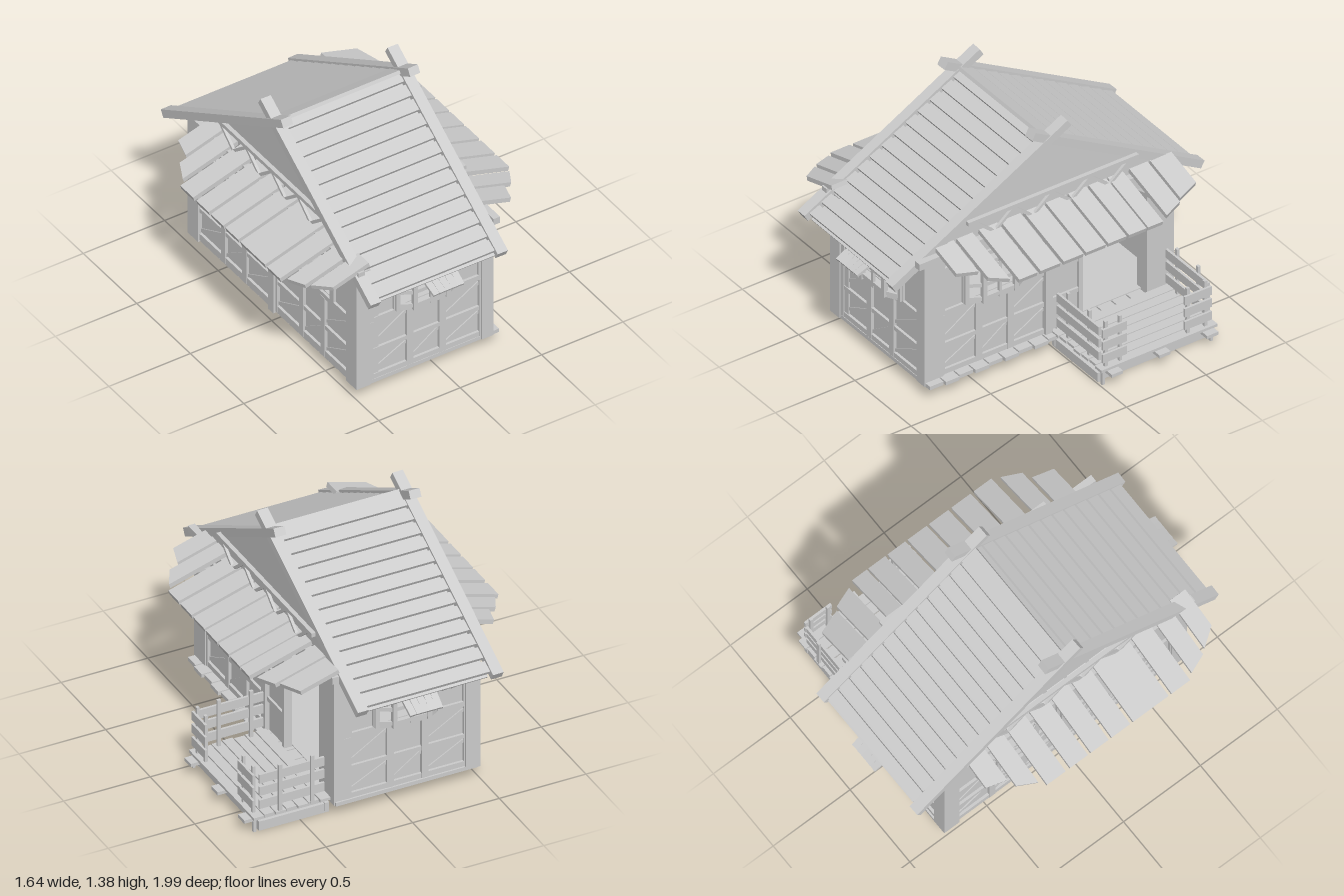
import * as THREE from 'three';

const mat = new THREE.MeshStandardMaterial({ color: 0xcccccc, flatShading: true, side: THREE.DoubleSide });
const V = (x, y, z) => new THREE.Vector3(x, y, z);

function add(parent, name, geo) {
  const m = new THREE.Mesh(geo, mat);
  m.name = name;
  parent.add(m);
  return m;
}
// box given by its min and max on each axis
function box(parent, name, x0, x1, y0, y1, z0, z1) {
  const m = add(parent, name, new THREE.BoxGeometry(x1 - x0, y1 - y0, z1 - z0));
  m.position.set((x0 + x1) / 2, (y0 + y1) / 2, (z0 + z1) / 2);
  return m;
}
// beam between two points: w across, t thick
function beam(parent, name, a, b, w, t) {
  const m = new THREE.Mesh(new THREE.BoxGeometry(w, t, a.distanceTo(b)), mat);
  m.name = name;
  m.position.copy(a).add(b).multiplyScalar(0.5);
  m.lookAt(b);
  parent.add(m);
  return m;
}
function group(parent, name, x = 0, y = 0, z = 0, ry = 0) {
  const g = new THREE.Group();
  g.name = name;
  g.position.set(x, y, z);
  g.rotation.y = ry;
  parent.add(g);
  return g;
}
function polygon(points) {
  return new THREE.Shape(points.map(p => new THREE.Vector2(...p)));
}
const extrude = (shape, depth) => new THREE.ExtrudeGeometry(shape, { depth, bevelEnabled: false });

// three-sided bay window facing +z
function bayWindow(parent) {
  const g = group(parent, 'bayWindow');
  const plan = [[-0.18, 0], [-0.1, 0.045], [0.1, 0.045], [0.18, 0]];
  for (const [y0, y1] of [[0.475, 0.495], [0.7, 0.725]]) {
    const p = add(g, 'bayPlate', extrude(polygon(plan), y1 - y0));
    p.rotation.x = Math.PI / 2;
    p.position.y = y1;
  }
  plan.forEach(([x, z], i) => {
    beam(g, 'bayPost', V(x, 0.48, z), V(x, 0.72, z), 0.025, 0.025);
    if (i === 3) return;
    const [nx, nz] = plan[i + 1];
    for (const y of [0.505, 0.59, 0.69])
      beam(g, 'bayRail', V(x, y, z), V(nx, y, nz), 0.014, 0.022);
  });
  beam(g, 'bayMullion', V(0, 0.48, 0.045), V(0, 0.72, 0.045), 0.016, 0.016);
}

// half-timbered wall, outer face on local z = 0
function wall(parent, name, w, window, x, z, ry) {
  const g = group(parent, name, x, 0, z, ry);
  const h = w / 2;
  const s = polygon([[-h, 0.08], [h, 0.08], [h, 0.82], [-h, 0.82]]);
  s.holes.push(polygon([[-0.16, 0.49], [-0.16, 0.71], [0.16, 0.71], [0.16, 0.49]]));
  add(g, 'wallPanel', extrude(s, 0.015)).position.z = -0.03;
  for (const [y0, y1] of [[0.08, 0.12], [0.26, 0.285], [0.455, 0.485], [0.72, 0.75]])
    box(g, 'wallRail', -h, h, y0, y1, -0.02, 0);
  for (const px of [-h + 0.015, -0.1, 0.1, h - 0.015])
    box(g, 'wallStud', px - 0.02, px + 0.02, 0.08, 0.46, -0.02, 0.002);
  for (const px of [-h + 0.02, -0.18, 0.18, h - 0.02])
    box(g, 'upperStud', px - 0.018, px + 0.018, 0.48, 0.8, -0.02, 0);
  // diagonal braces in the lower panel
  for (const [ax, ay, bx, by] of [[-h, 0.29, -0.1, 0.45], [0.1, 0.3, h, 0.45], [-h, 0.12, -0.1, 0.25], [-0.1, 0.12, 0.1, 0.26], [0.1, 0.12, h, 0.26]])
    beam(g, 'brace', V(ax, ay, -0.014), V(bx, by, -0.014), 0.012, 0.018);
  if (window === 'bay') bayWindow(g);
  else {
    box(g, 'windowBar', -0.16, 0.16, 0.585, 0.605, -0.025, -0.005);
    box(g, 'windowMullion', -0.012, 0.012, 0.49, 0.71, -0.025, -0.005);
  }
  return g;
}

// small fanned slat canopy over a bay window
function canopy(parent, drop) {
  const g = group(parent, 'windowCanopy');
  for (let i = 0; i < 9; i++) {
    const u = (i - 4) / 4, far = Math.abs(u) > 0.7 ? 0.13 : 0.21;
    beam(g, 'canopySlat', V(u * 0.18, 0.765, 0), V(u * (far < 0.2 ? 0.2 : 0.15), 0.765 - far * drop, far), 0.038, 0.014);
  }
  beam(g, 'canopyRail', V(-0.16, 0.7, 0.12), V(0.16, 0.7, 0.12), 0.015, 0.015);
}

// sloping plank awning on a gable side; rows are [z0, z1, reach at z0, reach at z1]
function awning(parent, side, rootX, rows) {
  const g = group(parent, 'sideAwning');
  const slope = 0.29;
  for (const [z0, z1, r0, r1] of rows) {
    const a = (r0 - rootX) / Math.cos(slope), b = (r1 - rootX) / Math.cos(slope);
    const geo = extrude(polygon([[0, z0], [a, z0], [b, z1], [0, z1]]), 0.026);
    geo.rotateX(Math.PI / 2).rotateZ(-slope);
    if (side < 0) geo.rotateY(Math.PI).scale(1, 1, -1);
    add(g, 'awningPlank', geo).position.set(side * rootX, 0.895, 0);
  }
  for (const z of [-0.55, -0.18, 0.2, 0.55])
    beam(g, 'awningBracket', V(side * (rootX - 0.02), 0.74, z), V(side * (rootX + 0.2), 0.805, z), 0.025, 0.02);
}

// gable: triangular wall with a lattice truss in front
function gable(parent, x, out) {
  const g = group(parent, 'gable');
  const tri = add(g, 'gableWall', extrude(polygon([[-0.8, 0.8], [0.8, 0.8], [0, 1.27]]), 0.02));
  tri.rotation.y = -Math.PI / 2;
  tri.position.x = x + 0.01;
  const tx = x + out * 0.055;
  box(g, 'trussTop', tx - 0.012, tx + 0.012, 0.97, 0.993, -0.54, 0.53);
  box(g, 'wallPlate', tx - 0.025, tx + 0.015, 0.82, 0.86, -0.78, 0.84);
  for (let i = 0; i < 8; i++) {
    const z = -0.48 + i * 0.12, up = i % 2;
    beam(g, 'trussStrut', V(tx, up ? 0.87 : 0.97, z), V(tx, up ? 0.97 : 0.87, z + 0.12), 0.016, 0.016);
  }
}

export function createModel() {
  const house = new THREE.Group();
  house.name = 'timberHouse';

  // floor boards, reaching past the right wall in front of the deck
  const floor = group(house, 'floor');
  for (let i = 0; i < 17; i++) {
    const z = -0.78 + i * 0.093;
    box(floor, 'floorBoard', -0.49, z > -0.05 ? 0.375 + 0.012 * (i % 2) : 0.33, 0.068, 0.09, z, z + 0.085);
  }
  box(floor, 'floorJoist', -0.44, 0.28, 0.085, 0.095, -0.76, 0.78);

  // corner and middle posts
  const posts = group(house, 'posts');
  for (const [x0, x1, z0, z1, top] of [[-0.505, -0.42, 0.7, 0.8, 0.82], [0.265, 0.335, 0.68, 0.8, 0.82],
    [-0.505, -0.42, -0.78, -0.68, 0.82], [0.245, 0.335, -0.77, -0.6, 0.84],
    [0.29, 0.34, -0.005, 0.04, 0.84], [-0.51, -0.46, -0.02, 0.03, 0.84]])
    box(posts, 'post', x0, x1, 0.07, top, z0, z1);
  box(posts, 'innerPost', -0.42, -0.36, 0.07, 0.8, 0.74, 0.785);

  // walls
  canopy(wall(house, 'frontWall', 0.72, 'bay', -0.07, 0.79, 0), 0.47);
  canopy(wall(house, 'backWall', 0.72, 'bay', -0.09, -0.77, Math.PI), 0.6);
  wall(house, 'rightWall', 0.7, 'bay', 0.325, 0.35, Math.PI / 2);
  wall(house, 'leftBackWall', 0.72, 'bay', -0.495, -0.36, -Math.PI / 2);
  wall(house, 'leftFrontWall', 0.72, 'flat', -0.495, 0.37, -Math.PI / 2);

  // porch doorway
  const door = group(house, 'doorway');
  box(door, 'sidePanel', 0.295, 0.315, 0.09, 0.8, -0.18, 0);
  box(door, 'doorJamb', 0.285, 0.33, 0.09, 0.84, -0.2, -0.175);
  box(door, 'lintel', 0.29, 0.33, 0.74, 0.84, -0.62, 0);
  for (const y of [0.27, 0.46, 0.72]) box(door, 'panelRail', 0.31, 0.328, y, y + 0.025, -0.18, 0);

  // roof: planks over a thin sheet on each slope
  const roof = group(house, 'roof');
  const k = 0.579;
  for (const s of [1, -1]) {
    const slope = group(roof, 'roofSlope');
    const at = (d, lift, x) => V(x, 1.29 - d * k + lift, s * d);
    const sheet = beam(slope, 'roofSheet', at(0, -0.016, -0.095), at(0.95, -0.016, -0.1), 0.72, 0.008);
    sheet.name = 'roofSheet';
    const n = 13, step = 0.96 / n;
    for (let i = 0; i < n; i++) {
      const d = i * step - (s < 0 && i === 0 ? 0.03 : 0), x = -0.09 - 0.02 * i / n;
      beam(slope, 'roofPlank', at(d, 0, x), at((i + 1) * step - 0.013, 0.006, x), 0.735, 0.02);
    }
    // crossing barge beams, splaying slightly toward the eaves
    for (const x of [-0.475, 0.305])
      beam(slope, 'bargeBeam', at(-0.11, 0.003 + 0.002 * s, x + 0.003 * s), at(0.97, 0.003, x - 0.03), 0.062, 0.046);
    box(slope, 'eavePurlin', -0.45, 0.27, 0.775, 0.805, s * 0.84 - 0.015, s * 0.84 + 0.015);
  }
  box(roof, 'ridgeBeam', -0.46, 0.29, 1.235, 1.27, -0.02, 0.02);
  gable(house, 0.28, 1);
  gable(house, -0.44, -1);

  // side awnings
  awning(house, 1, 0.31, [[-0.77, -0.635, 0.53, 0.58], [-0.62, -0.505, 0.6, 0.645], [-0.465, -0.37, 0.67, 0.67],
    [-0.36, -0.25, 0.67, 0.67], [-0.235, -0.12, 0.67, 0.67], [-0.105, 0.02, 0.67, 0.67], [0.035, 0.16, 0.67, 0.67],
    [0.18, 0.305, 0.67, 0.67], [0.325, 0.44, 0.67, 0.67], [0.48, 0.58, 0.645, 0.59], [0.6, 0.715, 0.535, 0.5]]);
  awning(house, -1, 0.45, [[-0.63, -0.515, 0.66, 0.69], [-0.495, -0.39, 0.74, 0.79], [-0.36, -0.24, 0.825, 0.825],
    [-0.21, -0.095, 0.825, 0.825], [-0.075, 0.04, 0.825, 0.825], [0.06, 0.18, 0.825, 0.825], [0.2, 0.43, 0.825, 0.825],
    [0.45, 0.57, 0.825, 0.825], [0.6, 0.705, 0.8, 0.76], [0.73, 0.83, 0.74, 0.67]]);

  // deck: frame, joists and boards
  const deck = group(house, 'deck');
  for (const z of [-0.7, -0.02]) box(deck, 'deckBeam', 0.335, 0.74, 0.005, 0.06, z - 0.015, z + 0.015);
  for (const x of [0.35, 0.73]) box(deck, 'deckSideBeam', x - 0.012, x + 0.012, 0.015, 0.065, -0.72, 0);
  for (const z of [-0.67, -0.37, -0.07]) box(deck, 'deckJoist', 0.33, 0.82, 0.066, 0.085, z - 0.035, z + 0.035);
  for (let i = 0; i < 7; i++) {
    const x = 0.335 + i * 0.064;
    box(deck, 'deckBoard', x, x + 0.058, 0.084, 0.1, -0.73 + 0.008 * (i % 2), -0.005 * (i % 3));
  }
  for (const z of [-0.7, -0.02]) box(deck, 'deckFoot', 0.752, 0.768, 0, 0.09, z - 0.008, z + 0.008);

  // railings along both ends, returning round the corners
  const railing = group(house, 'railing');
  for (const [z, z0, z1] of [[-0.02, -0.165, -0.015], [-0.705, -0.7, -0.53]]) {
    for (const y of [0.135, 0.215, 0.29]) {
      box(railing, 'endRail', 0.36, 0.735, y, y + 0.052, z - 0.007, z + 0.007);
      box(railing, 'cornerRail', 0.756, 0.77, y, y + 0.052, z0, z1);
    }
    for (const x of [0.435, 0.622]) box(railing, 'railPost', x - 0.01, x + 0.01, 0.09, 0.38, z - 0.022, z - 0.006);
    for (const pz of [z0 + 0.03, z1 - 0.03]) box(railing, 'cornerPost', 0.742, 0.758, 0.09, 0.38, pz - 0.009, pz + 0.009);
  }
  return house;
}
